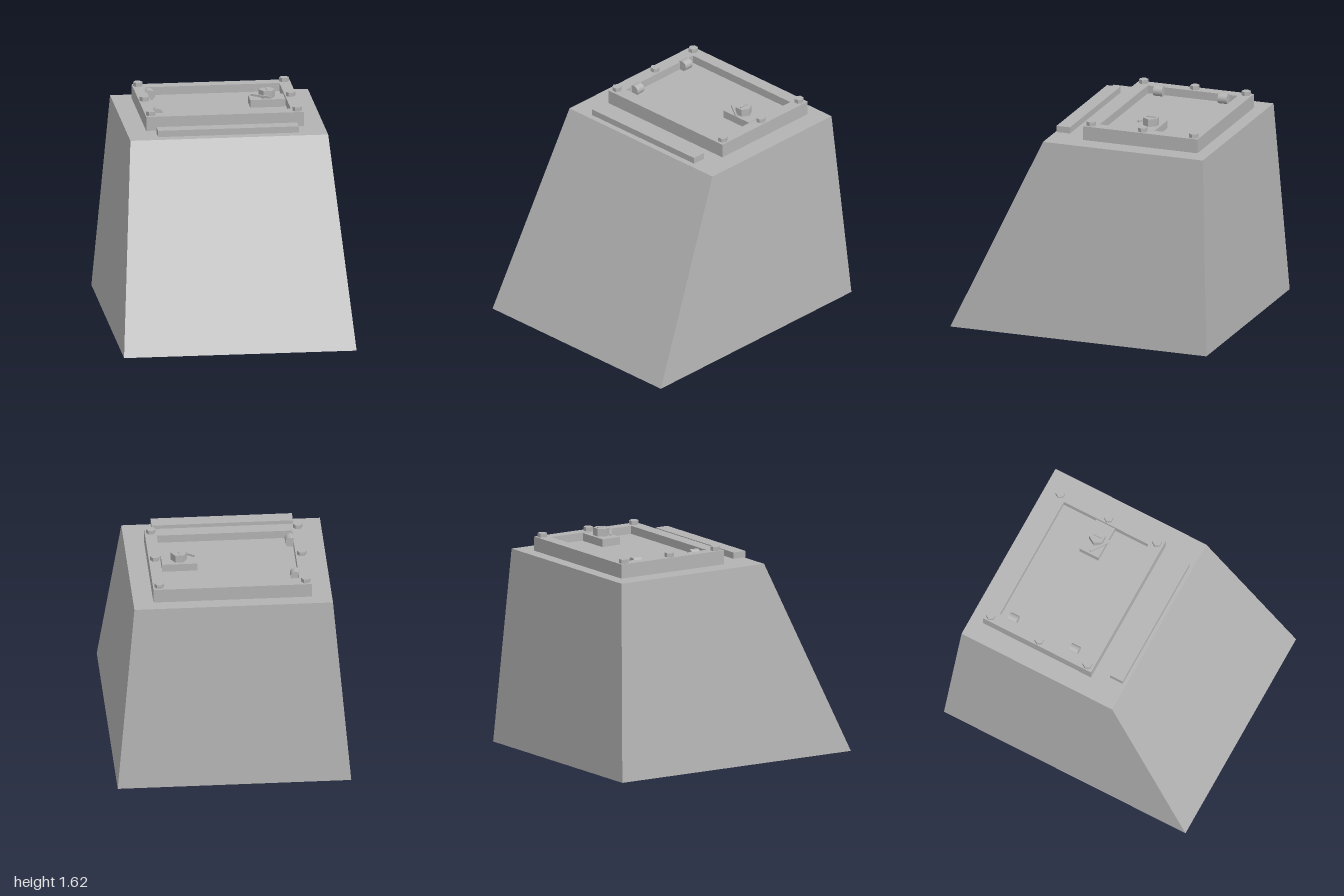
import * as THREE from 'three';

export function createModel() {
  const model = new THREE.Group();
  model.name = 'hatchPedestal';
  const grey = new THREE.MeshStandardMaterial({ color: 0xb3b3b3 });
  grey.name = 'plain grey';

  const add = (name, geometry, x, y, z) => {
    const mesh = new THREE.Mesh(geometry, grey);
    mesh.name = name;
    mesh.position.set(x, y, z);
    model.add(mesh);
    return mesh;
  };
  // Box given by its limits on each axis
  const addBox = (name, x0, x1, y0, y1, z0, z1) =>
    add(name, new THREE.BoxGeometry(x1 - x0, y1 - y0, z1 - z0),
      (x0 + x1) / 2, (y0 + y1) / 2, (z0 + z1) / 2);
  // Hexagonal prism with its corners pointing along x
  const addHex = (name, x, z, radius, y0, y1) => {
    const geometry = new THREE.CylinderGeometry(radius, radius, y1 - y0, 6)
      .rotateY(Math.PI / 2).toNonIndexed();
    geometry.computeVertexNormals();
    return add(name, geometry, x, (y0 + y1) / 2, z);
  };

  // Tapered body with a long sloping front
  const topY = 1.455;
  const bodyGeometry = new THREE.BoxGeometry(1.71, topY, 2).translate(0, topY / 2, 0);
  const p = bodyGeometry.attributes.position;
  for (let i = 0; i < p.count; i++) {
    if (p.getY(i) < topY / 2) continue;
    p.setX(i, Math.sign(p.getX(i)) * 0.727);
    p.setZ(i, p.getZ(i) > 0 ? 0.325 : -0.923);
  }
  bodyGeometry.computeVertexNormals();
  add('body', bodyGeometry, 0, 0, 0);

  // Raised frame around the hatch (shape y becomes -z)
  const rect = (path, x, z0, z1) => {
    path.moveTo(-x, -z1);
    path.lineTo(x, -z1);
    path.lineTo(x, -z0);
    path.lineTo(-x, -z0);
    path.closePath();
    return path;
  };
  const frameShape = rect(new THREE.Shape(), 0.58, -0.825, 0.07);
  frameShape.holes.push(rect(new THREE.Path(), 0.495, -0.73, -0.03));
  add('hatchFrame', new THREE.ExtrudeGeometry(frameShape, { depth: 0.105, bevelEnabled: false })
    .rotateX(-Math.PI / 2), 0, topY, 0);

  // Sunken door inside the frame
  addBox('hatchDoor', -0.495, 0.495, topY, 1.5, -0.73, -0.03);

  // Bolts along both sides of the frame
  for (const x of [-0.54, 0.535])
    for (const z of [-0.78, -0.38, 0.02]) addHex('frameBolt', x, z, 0.035, 1.56, 1.59);

  // Hinge barrels
  for (const z of [-0.63, -0.125])
    add('hinge', new THREE.CylinderGeometry(0.039, 0.039, 0.07, 24).rotateX(Math.PI / 2),
      -0.475, 1.535, z);

  // Latch: block, knob, pointer ridge and thin lever
  addBox('latchBlock', 0.23, 0.488, 1.5, 1.558, -0.457, -0.303);
  addHex('latchKnob', 0.36, -0.38, 0.06, 1.558, 1.615);
  addBox('knobRidge', 0.355, 0.365, 1.61, 1.622, -0.415, -0.345);
  const lever = add('latchLever', new THREE.BoxGeometry(0.165, 0.015, 0.014), 0.312, 1.578, -0.331);
  lever.rotation.y = -0.6;

  // Long bar in front of the hatch
  addBox('frontBar', -0.52, 0.515, 1.47, 1.517, 0.195, 0.3);

  return model;
}
